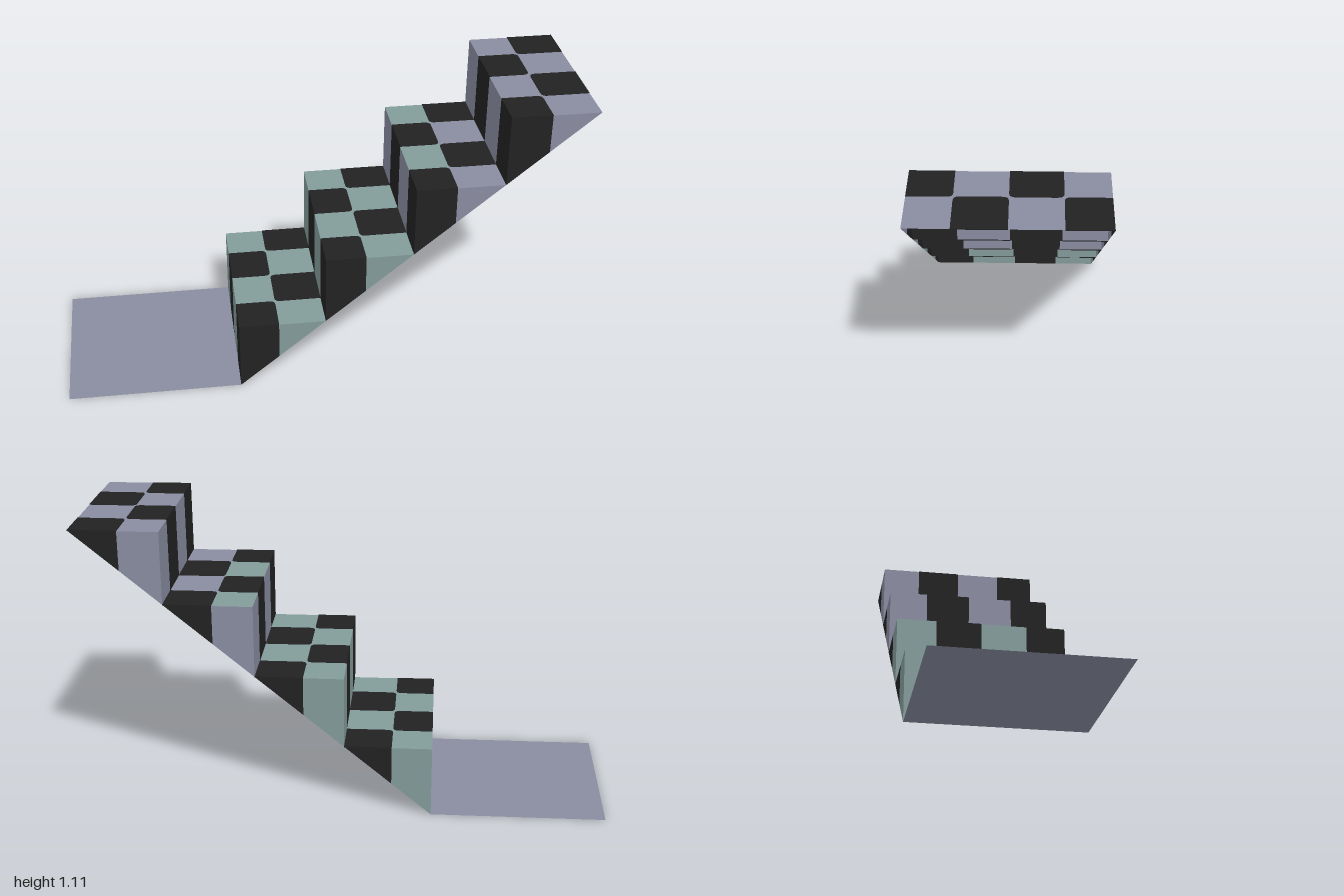
import * as THREE from 'three';

const STEP = 1 / 3, RISE = 0.2778, HALF = 0.333, SPLIT = 0.153;
const ROWS = [-HALF, -0.178, 0, 0.18, HALF]; // checker row edges along z
const ROUND = 0.022;

export function createModel() {
  const make = (name, color) => {
    const m = new THREE.MeshStandardMaterial({ color, side: THREE.DoubleSide });
    m.name = name;
    return m;
  };
  const black = make('black', 0x222222);
  const green = make('greyGreen', 0x829b99);
  const violet = make('greyViolet', 0x898ca0);

  const root = new THREE.Group();
  root.name = 'checkeredStairs';

  const add = (parent, name, geometry, material) => {
    const mesh = new THREE.Mesh(geometry, material);
    mesh.name = name;
    parent.add(mesh);
  };

  // Flat convex polygon from corner points
  const face = (parent, name, points, material) => {
    const g = new THREE.BufferGeometry();
    g.setAttribute('position', new THREE.Float32BufferAttribute(points.flat(), 3));
    const index = [];
    for (let i = 1; i < points.length - 1; i++) index.push(0, i, i + 1);
    g.setIndex(index);
    g.computeVertexNormals();
    add(parent, name, g, material);
  };

  // Horizontal rectangle facing up
  const flat = (parent, name, x0, x1, y, material) => face(parent, name,
    [[x0, y, -HALF], [x0, y, HALF], [x1, y, HALF], [x1, y, -HALF]], material);

  // Thin checker tile seen from above and below, rounded where tiles meet inside a tread
  const tile = (parent, xa, xb, za, zb, xm, y) => {
    const corners = [[xa, za], [xb, za], [xb, zb], [xa, zb]];
    const shape = new THREE.Shape();
    corners.forEach(([x, z], i) => {
      const inner = x === xm && Math.abs(z) < HALF - 0.01;
      const toward = (c) => [x + Math.sign(c[0] - x) * ROUND, z + Math.sign(c[1] - z) * ROUND];
      const from = inner ? toward(corners[(i + 3) % 4]) : [x, z];
      if (i === 0) shape.moveTo(...from);
      else shape.lineTo(...from);
      if (inner) shape.quadraticCurveTo(x, z, ...toward(corners[(i + 1) % 4]));
    });
    shape.closePath();
    const g = new THREE.ExtrudeGeometry(shape, { depth: 0.004, bevelEnabled: false, curveSegments: 4 });
    g.rotateX(Math.PI / 2).translate(0, y + 0.002, 0);
    add(parent, 'treadTile', g, black);
  };

  // Floor plate at the foot of the stairs
  flat(root, 'floorPlate', -1, -STEP, 0, violet);

  for (let i = 0; i < 4; i++) {
    const step = new THREE.Group();
    step.name = `step${i + 1}`;
    root.add(step);
    const x0 = -STEP + i * STEP, x1 = x0 + STEP, xm = x0 + SPLIT;
    const y0 = i * RISE, y1 = y0 + RISE, ym = y0 + RISE * SPLIT / STEP;
    const main = i < 2 ? green : violet;
    const inner = i < 3 ? green : violet; // half of the tread beside the riser

    // Riser stripes
    for (let r = 0; r < 4; r++) {
      const za = ROWS[r], zb = ROWS[r + 1];
      face(step, 'riserStripe', [[x0, y0, za], [x0, y0, zb], [x0, y1, zb], [x0, y1, za]],
        r % 2 ? black : main);
    }

    // Tread with checker tiles
    flat(step, 'treadInner', x0, xm, y1, inner);
    flat(step, 'treadOuter', xm, x1, y1, main);
    for (let r = 0; r < 4; r++) {
      const [xa, xb] = r % 2 ? [x0, xm] : [xm, x1];
      tile(step, xa, xb, ROWS[r], ROWS[r + 1], xm, y1);
    }

    // Triangular side walls, each split into two colours
    for (const s of [1, -1]) {
      const z = s * HALF;
      const quad = [[x0, y0, z], [xm, ym, z], [xm, y1, z], [x0, y1, z]];
      const tip = [[xm, ym, z], [x1, y1, z], [xm, y1, z]];
      if (s < 0) { quad.reverse(); tip.reverse(); }
      face(step, 'sideWallInner', quad, s > 0 ? black : main);
      face(step, 'sideWallTip', tip, s > 0 ? main : black);
    }
  }
  return root;
}
